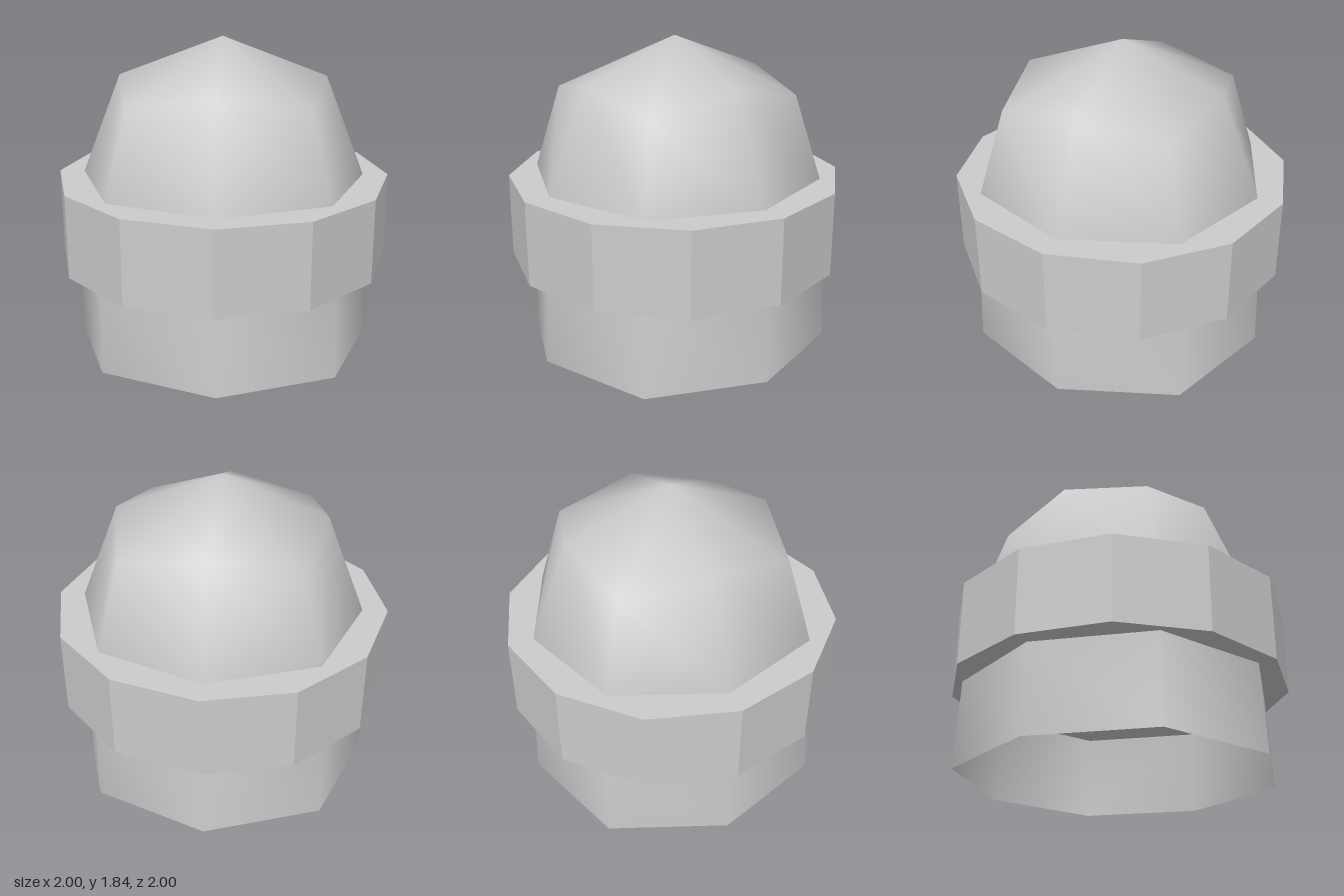
import * as THREE from 'three';
import { mergeVertices } from 'three/addons/utils/BufferGeometryUtils.js';

// Rows from bottom to top: [radius, height] on the axes, then on the diagonals
const ROWS = [
  [0.915, 0, 0.943, 0],
  [0.896, 0.51, 0.922, 0.51],
  [0.855, 1.0, 0.88, 1.0],
  [0.612, 1.612, 0.713, 1.515],
  [0, 1.842, 0, 1.842],
];

// Eight-sided shell, open below, with its diagonal corners moved off the axis profile
function shellGeometry() {
  const sides = 8;
  let geo = new THREE.LatheGeometry(ROWS.map(([r, y]) => new THREE.Vector2(r, y)), sides);
  const pos = geo.attributes.position;
  for (let i = 1; i < sides; i += 2) {
    const a = (i / sides) * Math.PI * 2;
    ROWS.forEach(([, , r, y], j) => {
      pos.setXYZ(i * ROWS.length + j, r * Math.sin(a), y, r * Math.cos(a));
    });
  }
  // weld the seam for smooth shading all round
  geo.deleteAttribute('uv');
  geo.deleteAttribute('normal');
  geo = mergeVertices(geo, 1e-4);
  geo.computeVertexNormals();
  return geo;
}

export function createModel() {
  const group = new THREE.Group();
  group.name = 'domedCap';

  const shell = new THREE.Mesh(
    shellGeometry(),
    new THREE.MeshStandardMaterial({ color: 0xcccccc, side: THREE.DoubleSide })
  );
  shell.name = 'domedShell';

  // Solid twelve-sided collar; its underside closes the shell from within
  const collar = new THREE.Mesh(
    new THREE.CylinderGeometry(1, 1, 0.5, 12),
    new THREE.MeshStandardMaterial({ color: 0xcccccc, flatShading: true })
  );
  collar.name = 'collar';
  collar.position.y = 0.763;

  group.add(shell, collar);
  return group;
}
